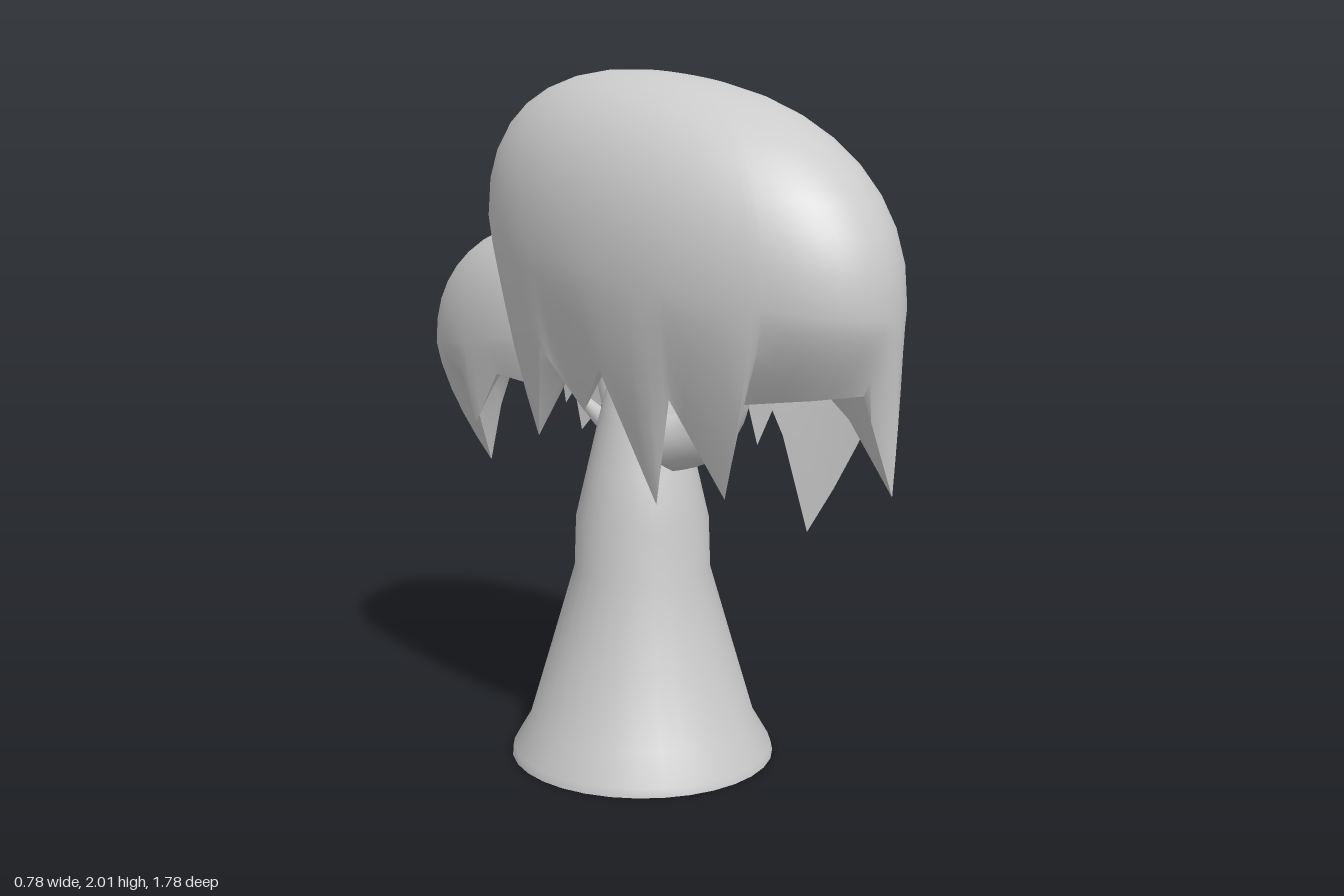
import * as THREE from 'three';
import { toCreasedNormals } from 'three/addons/utils/BufferGeometryUtils.js';

const material = new THREE.MeshStandardMaterial({ color: 0xcccccc, side: THREE.DoubleSide });
const V = (p) => new THREE.Vector3(...p);

function addMesh(parent, name, geometry) {
  const mesh = new THREE.Mesh(geometry, material);
  mesh.name = name;
  parent.add(mesh);
  return mesh;
}

// Leaf mass: a full, rounded dome whose skirt runs down to a ragged rim,
// closed by an underside. Rim points go round from the front towards +x.
function canopyGeometry({ cz, rx, rz, yMid, tilt, height, full, under, rim }) {
  const STEPS = 4, DOME = 9, SKIRT = 5, UNDER = 5, ROWS = DOME + SKIRT + UNDER;
  const columns = [];
  // Dome angle above each rim point, kept rising where the rim folds inwards
  const angles = [];
  for (const [x, , z] of rim) {
    const a = Math.atan2(x / rx, (z - cz) / rz);
    const turn = a < -1e-6 ? a + Math.PI * 2 : a;
    angles.push(angles.length ? Math.max(turn, angles.at(-1) + 0.06) : 0);
  }
  angles.push(Math.PI * 2);
  rim.forEach((p, i) => {
    const q = rim[(i + 1) % rim.length];
    for (let k = 0; k < STEPS; k++) {
      const t = k / STEPS;
      columns.push({ a: THREE.MathUtils.lerp(angles[i], angles[i + 1], t), edge: V(p).lerp(V(q), t) });
    }
  });
  const n = columns.length, positions = [], index = [];
  const put = (v) => positions.push(v.x, v.y, v.z);
  const domePoint = (a, t) => {
    const phi = t * Math.PI / 2;
    const out = Math.sin(phi) ** full, up = t === 1 ? 0 : Math.cos(phi) ** full;
    const dz = rz * Math.cos(a) * out;
    return new THREE.Vector3(rx * Math.sin(a) * out, yMid + tilt * dz + height * up, cz + dz);
  };
  // Dome
  for (let r = 0; r <= DOME; r++) {
    for (const c of columns) put(domePoint(c.a, r / DOME));
  }
  // Skirt
  for (let r = 1; r <= SKIRT; r++) {
    const s = r / SKIRT;
    for (const c of columns) {
      const v = domePoint(c.a, 1);
      const y = THREE.MathUtils.lerp(v.y, c.edge.y, s);
      put(v.lerp(c.edge, s ** 1.5).setY(y));
    }
  }
  // Underside
  const centre = new THREE.Vector3(0, under, cz);
  for (let r = 1; r <= UNDER; r++) {
    const t = r / UNDER;
    for (const c of columns) {
      const v = c.edge.clone().lerp(centre, t);
      put(v.setY(THREE.MathUtils.lerp(c.edge.y, under, 1 - (1 - t) ** 3)));
    }
  }
  // First and last rows meet in a point, so they need one triangle per column
  for (let r = 0; r < ROWS; r++) {
    for (let j = 0; j < n; j++) {
      const a = r * n + j, b = r * n + (j + 1) % n, c = a + n, d = b + n;
      if (r < ROWS - 1) index.push(a, c, d);
      if (r > 0) index.push(a, r < ROWS - 1 ? d : c, b);
    }
  }
  const geometry = new THREE.BufferGeometry();
  geometry.setAttribute('position', new THREE.Float32BufferAttribute(positions, 3));
  geometry.setIndex(index);
  return toCreasedNormals(geometry, 0.9);
}

// Tapered tube along a smooth path
function branchGeometry(points, r0, r1) {
  const curve = new THREE.CatmullRomCurve3(points.map(V));
  const segments = 12, radial = 10;
  const geometry = new THREE.TubeGeometry(curve, segments, 1, radial);
  const pos = geometry.attributes.position, v = new THREE.Vector3();
  for (let i = 0; i < pos.count; i++) {
    const t = Math.floor(i / (radial + 1)) / segments;
    const mid = curve.getPointAt(t);
    v.fromBufferAttribute(pos, i).sub(mid).multiplyScalar(r0 + (r1 - r0) * t).add(mid);
    pos.setXYZ(i, v.x, v.y, v.z);
  }
  geometry.computeVertexNormals();
  return geometry;
}

export function createModel() {
  const tree = new THREE.Group();
  tree.name = 'tree';

  // Flared trunk with a closed foot
  const profile = [[0, 0], [0.39, 0], [0.385, 0.025], [0.335, 0.11], [0.27, 0.33], [0.2, 0.57],
    [0.195, 0.72], [0.16, 0.87], [0.125, 1.02], [0.08, 1.2], [0.05, 1.24], [0, 1.25]];
  const trunkGeometry = new THREE.LatheGeometry(profile.map(([x, y]) => new THREE.Vector2(x, y)), 32);
  addMesh(tree, 'trunk', toCreasedNormals(trunkGeometry, 0.8)).position.z = -0.015;

  // Branches
  const branches = [
    ['frontBranch', [[0, 0.95, 0.05], [0, 0.98, 0.2], [0.01, 1.06, 0.3], [0.02, 1.22, 0.36]], 0.09, 0.05],
    ['rearBranch', [[0.03, 0.9, -0.1], [0.06, 0.94, -0.2], [0.08, 0.97, -0.3], [0.1, 1.02, -0.42]], 0.05, 0.012],
    ['upperRearBranch', [[0, 0.98, -0.06], [0, 1.1, -0.12], [0, 1.2, -0.15], [0, 1.33, -0.18]], 0.07, 0.04],
  ];
  for (const [name, path, r0, r1] of branches) addMesh(tree, name, branchGeometry(path, r0, r1));

  // Large canopy
  addMesh(tree, 'mainCanopy', canopyGeometry({
    cz: 0.16, rx: 0.385, rz: 0.73, yMid: 1.5, tilt: -0.14, height: 0.49, full: 0.86, under: 1.3,
    rim: [
      [0, 1.19, 0.82], [0.1, 0.91, 0.84], [0.14, 1.14, 0.7], [0.07, 0.77, 0.57],
      [0.14, 1.06, 0.52], [0.29, 1.22, 0.47], [0.39, 1.05, 0.37], [0.35, 1.2, 0.27],
      [0.28, 0.92, 0.18], [0.36, 1.31, 0], [0.31, 1.3, -0.2], [0.25, 1.12, -0.29],
      [0.16, 1.4, -0.38], [0, 1.46, -0.48], [-0.18, 1.32, -0.35], [-0.22, 0.96, -0.22],
      [-0.33, 1.25, -0.08], [-0.28, 1.08, 0.05], [-0.34, 1.22, 0.18], [-0.24, 0.85, 0.3],
      [-0.29, 1.16, 0.4], [-0.18, 0.89, 0.5], [-0.2, 1.16, 0.58], [-0.1, 1.18, 0.74],
    ],
  }));

  // Rear canopy, partly tucked under the large one
  addMesh(tree, 'rearCanopy', canopyGeometry({
    cz: -0.45, rx: 0.25, rz: 0.44, yMid: 1.22, tilt: 0.17, height: 0.34, full: 0.86, under: 1.16,
    rim: [
      [0, 1.27, -0.05], [0.12, 1.2, -0.12], [0.19, 0.98, -0.22], [0.23, 1.1, -0.31],
      [0.23, 1.01, -0.4], [0.18, 0.88, -0.49], [0.24, 1.04, -0.55], [0.2, 0.95, -0.59],
      [0.24, 1.1, -0.65], [0.21, 0.98, -0.72], [0.15, 1.04, -0.82], [0.07, 0.95, -0.88],
      [0, 1.04, -0.87], [-0.1, 1.04, -0.8], [-0.02, 0.78, -0.7], [-0.14, 1.04, -0.64],
      [-0.2, 1.06, -0.58], [-0.22, 0.95, -0.52], [-0.23, 1.12, -0.4], [-0.2, 1.1, -0.25],
      [-0.12, 1.2, -0.12],
    ],
  }));
  return tree;
}
